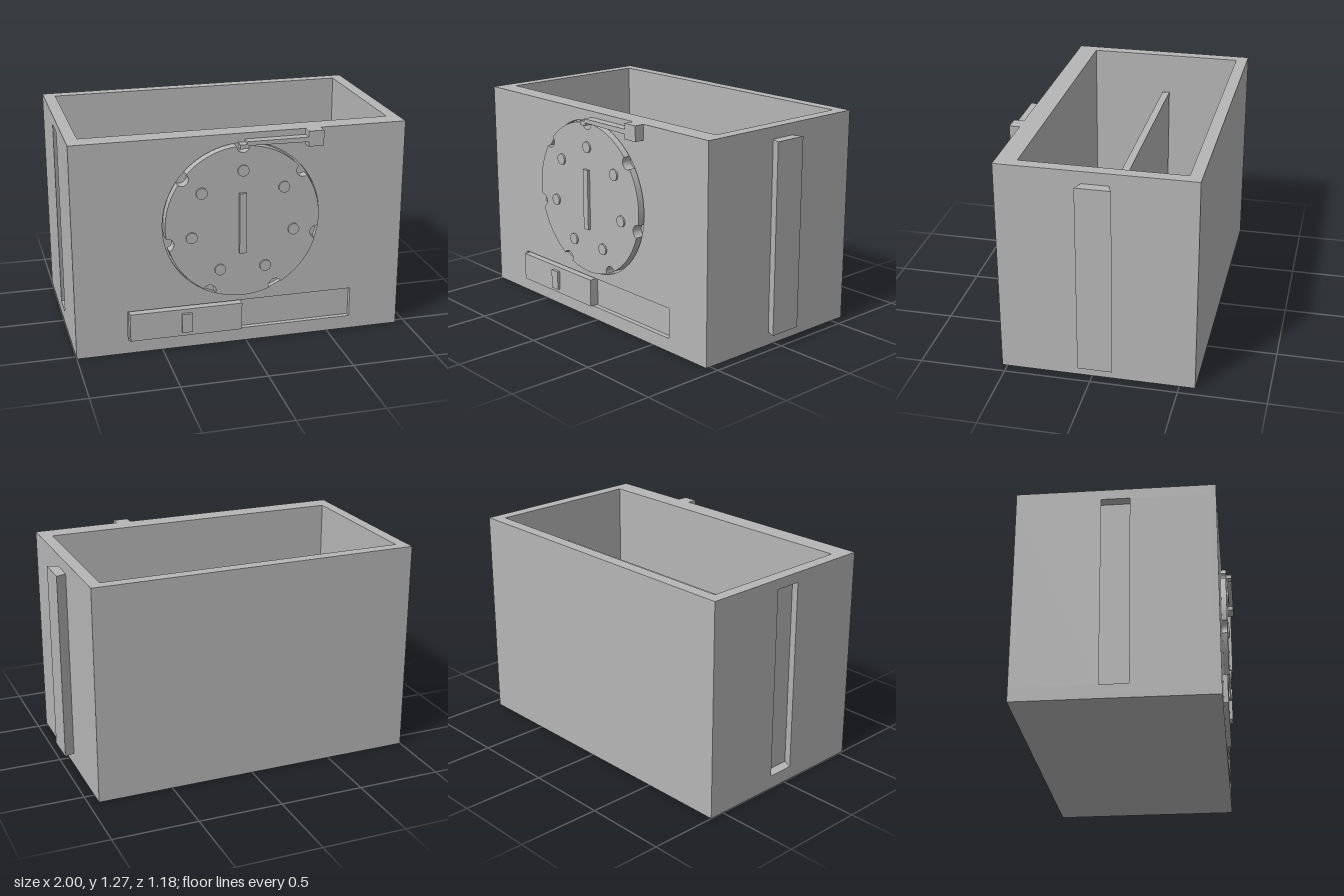
import * as THREE from 'three';

export function createModel() {
  const model = new THREE.Group();
  const grey = new THREE.MeshStandardMaterial({ color: 0xb6b6b6 });
  grey.name = 'light grey';

  const add = (name, geometry) => {
    const mesh = new THREE.Mesh(geometry, grey);
    mesh.name = name;
    model.add(mesh);
    return mesh;
  };
  // Box given by its limits on each axis
  const block = (name, x0, x1, y0, y1, z0, z1) =>
    add(name, new THREE.BoxGeometry(x1 - x0, y1 - y0, z1 - z0)
      .translate((x0 + x1) / 2, (y0 + y1) / 2, (z0 + z1) / 2));
  const polygon = (points, Type = THREE.Shape) =>
    new Type(points.map(([x, y]) => new THREE.Vector2(x, y)));
  const rect = (x0, x1, y0, y1, Type) =>
    polygon([[x0, y0], [x1, y0], [x1, y1], [x0, y1]], Type);
  // Extrusion towards the front, from z0 to z1
  const facing = (name, shape, z0, z1) =>
    add(name, new THREE.ExtrudeGeometry(shape, { depth: z1 - z0, bevelEnabled: false, curveSegments: 48 })
      .translate(0, 0, z0));
  // Extrusion of a plan outline of [x, z] points, from y0 to y1
  const plan = (name, points, y0, y1, hole) => {
    const shape = polygon(points.map(([x, z]) => [x, -z]));
    if (hole) shape.holes.push(hole);
    return add(name, new THREE.ExtrudeGeometry(shape, { depth: y1 - y0, bevelEnabled: false })
      .rotateX(-Math.PI / 2).translate(0, y0, 0));
  };

  const L = -1, R = 0.94, BACK = -0.59, FRONT = 0.53, RECESS = 0.5, TOP = 1.27;
  const inL = -0.93, inR = 0.87, inBack = -0.52, inFront = 0.41;

  // Open box: floor and stacked wall rings, the middle one with a dovetail groove
  const cavity = () => rect(inL, inR, -inFront, -inBack, THREE.Path);
  const plain = [[L, BACK], [L, RECESS], [R, RECESS], [R, BACK]];
  const grooved = [[L, BACK], [L, -0.11], [-0.94, -0.135], [-0.94, 0.075], [L, 0.05],
    [L, RECESS], [R, RECESS], [R, BACK]];
  block('floor', L, R, 0, 0.05, BACK, RECESS);
  plan('lowerWalls', plain, 0.05, 0.08, cavity());
  plan('groovedWalls', grooved, 0.08, 1.21, cavity());
  plan('upperWalls', plain, 1.21, TOP, cavity());

  // Raised floor strips leaving four divider slots
  const slots = [-0.39, -0.24, -0.09, 0.06];
  let z = inBack;
  for (const s of [...slots, inFront]) {
    block('floorStrip', inL, inR, 0.05, 0.08, z, s);
    z = s + 0.05;
  }
  block('divider', -0.915, 0.85, 0.05, 1.02, -0.087, -0.043);

  // Front plate with a round recess and a sliding-door recess
  const cx = -0.03, cy = 0.755, r = 0.45;
  const plate = rect(L, R, 0, TOP);
  plate.holes.push(new THREE.Path().absarc(cx, cy, 0.46, 0, Math.PI * 2, true));
  plate.holes.push(rect(-0.7, 0.64, 0.08, 0.26, THREE.Path));
  facing('frontPlate', plate, RECESS, FRONT);

  // Dial with seven rim notches, seven studs and a grip
  const count = 7, step = Math.PI * 2 / count, notch = 0.038;
  const half = 2 * Math.asin(notch / (2 * r));
  const dial = new THREE.Shape();
  for (let i = 0; i < count; i++) {
    const a = Math.PI / 2 + i * step;
    const nx = cx + r * Math.cos(a), ny = cy + r * Math.sin(a);
    dial.absarc(nx, ny, notch, a - Math.PI / 2 - half / 2, a - Math.PI * 1.5 + half / 2, true);
    dial.absarc(cx, cy, r, a + half, a + step - half, false);
    add('dialStud', new THREE.CylinderGeometry(0.033, 0.033, 0.02, 32).rotateX(Math.PI / 2)
      .translate(cx + 0.307 * Math.cos(a), cy + 0.307 * Math.sin(a), 0.56));
  }
  facing('dial', dial, RECESS, 0.56);
  block('dialGrip', -0.053, -0.012, 0.57, 0.93, 0.55, 0.577);

  // Spring latch resting in the top notch
  block('latchBlock', 0.34, 0.43, 1.18, TOP, FRONT, 0.59);
  facing('latchArm', polygon([[-0.015, 1.213], [0.34, 1.208], [0.34, 1.236], [-0.015, 1.236]]), 0.535, 0.59);
  block('latchTip', -0.055, -0.01, 1.195, 1.22, 0.535, 0.59);

  // Sliding door with its knob
  block('slidingDoor', -0.69, -0.03, 0.084, 0.25, RECESS, 0.555);
  block('doorKnob', -0.39, -0.33, 0.11, 0.225, 0.55, 0.572);

  // Dovetail rail on the side
  plan('dovetailRail', [[R, -0.105], [R, 0.045], [1, 0.07], [1, -0.13]], 0.08, 1.2);

  return model;
}
